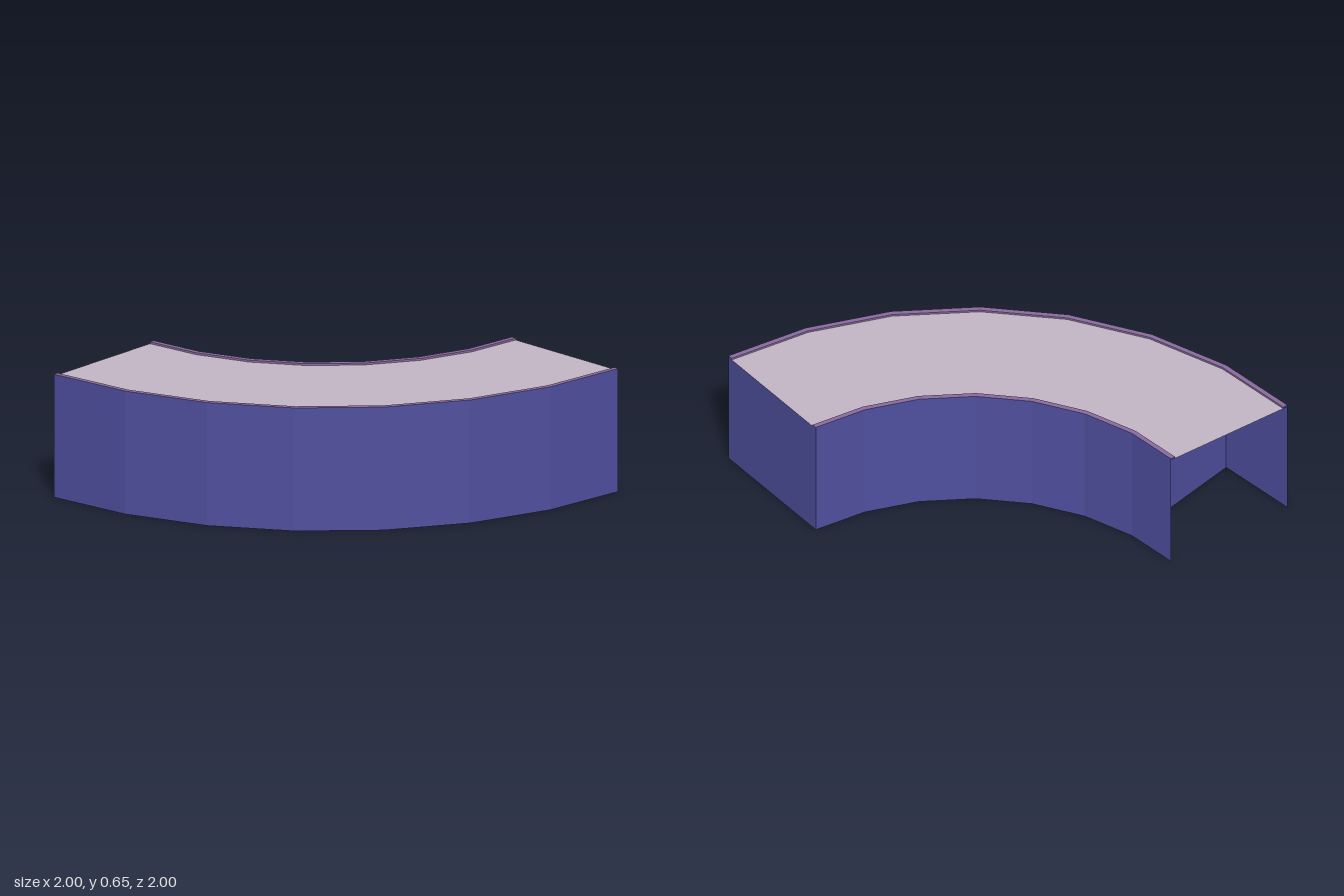
import * as THREE from 'three';

const SEGMENTS = 7;
const OUTER = 2, INNER = 1.27, RIM = 0.027;
const TOP = 0.65, LID = 0.64;

const mat = (name, color) => {
  const m = new THREE.MeshStandardMaterial({ color, side: THREE.DoubleSide });
  m.name = name;
  return m;
};

// Point at joint k of the quarter ring, whose centre is the corner (1, -1)
function point(k, r, y) {
  const a = (k / SEGMENTS) * Math.PI / 2;
  return [1 - r * Math.cos(a), y, -1 + r * Math.sin(a)];
}

// Flat shaded mesh from a list of four-cornered faces
function quads(name, faces, material) {
  const pos = [];
  for (const [a, b, c, d] of faces) pos.push(...a, ...b, ...c, ...a, ...c, ...d);
  const g = new THREE.BufferGeometry();
  g.setAttribute('position', new THREE.Float32BufferAttribute(pos, 3));
  g.computeVertexNormals();
  const mesh = new THREE.Mesh(g, material);
  mesh.name = name;
  return mesh;
}

// Faceted strip following the arc between two (radius, height) edges
function arcStrip(name, [r0, y0], [r1, y1], material) {
  const faces = [];
  for (let k = 0; k < SEGMENTS; k++) {
    faces.push([point(k, r0, y0), point(k + 1, r0, y0), point(k + 1, r1, y1), point(k, r1, y1)]);
  }
  return quads(name, faces, material);
}

export function createModel() {
  const group = new THREE.Group();
  group.name = 'curvedCounter';
  const blue = mat('panel blue', 0x4f4f9f);
  const purple = mat('rim purple', 0x8a6ba0);
  const pale = mat('worktop mauve', 0xc3b5c6);

  // Curved walls, open underneath
  group.add(arcStrip('outerWall', [OUTER, 0], [OUTER, TOP], blue));
  group.add(arcStrip('innerWall', [INNER, TOP], [INNER, 0], blue));

  // Slightly sunken worktop
  group.add(arcStrip('worktop', [OUTER, LID], [INNER, LID], pale));

  // Raised rims with their inward lips
  const ro = OUTER - RIM, ri = INNER + RIM;
  group.add(arcStrip('outerRim', [OUTER, TOP], [ro, TOP], purple));
  group.add(arcStrip('outerRimLip', [ro, TOP], [ro, LID], purple));
  group.add(arcStrip('innerRim', [ri, TOP], [INNER, TOP], purple));
  group.add(arcStrip('innerRimLip', [ri, LID], [ri, TOP], purple));

  // Small caps closing the rim ends
  for (const k of [0, SEGMENTS]) {
    for (const [a, b] of [[OUTER, ro], [ri, INNER]]) {
      const cap = [point(k, a, LID), point(k, b, LID), point(k, b, TOP), point(k, a, TOP)];
      group.add(quads('rimEnd', [k ? cap : cap.reverse()], blue));
    }
  }

  // Radial support panels; the last one closes the end
  for (const k of [1, 3, 5, 7]) {
    group.add(quads(k === SEGMENTS ? 'endPanel' : 'supportPanel',
      [[point(k, OUTER, 0), point(k, INNER, 0), point(k, INNER, LID), point(k, OUTER, LID)]], blue));
  }
  return group;
}
